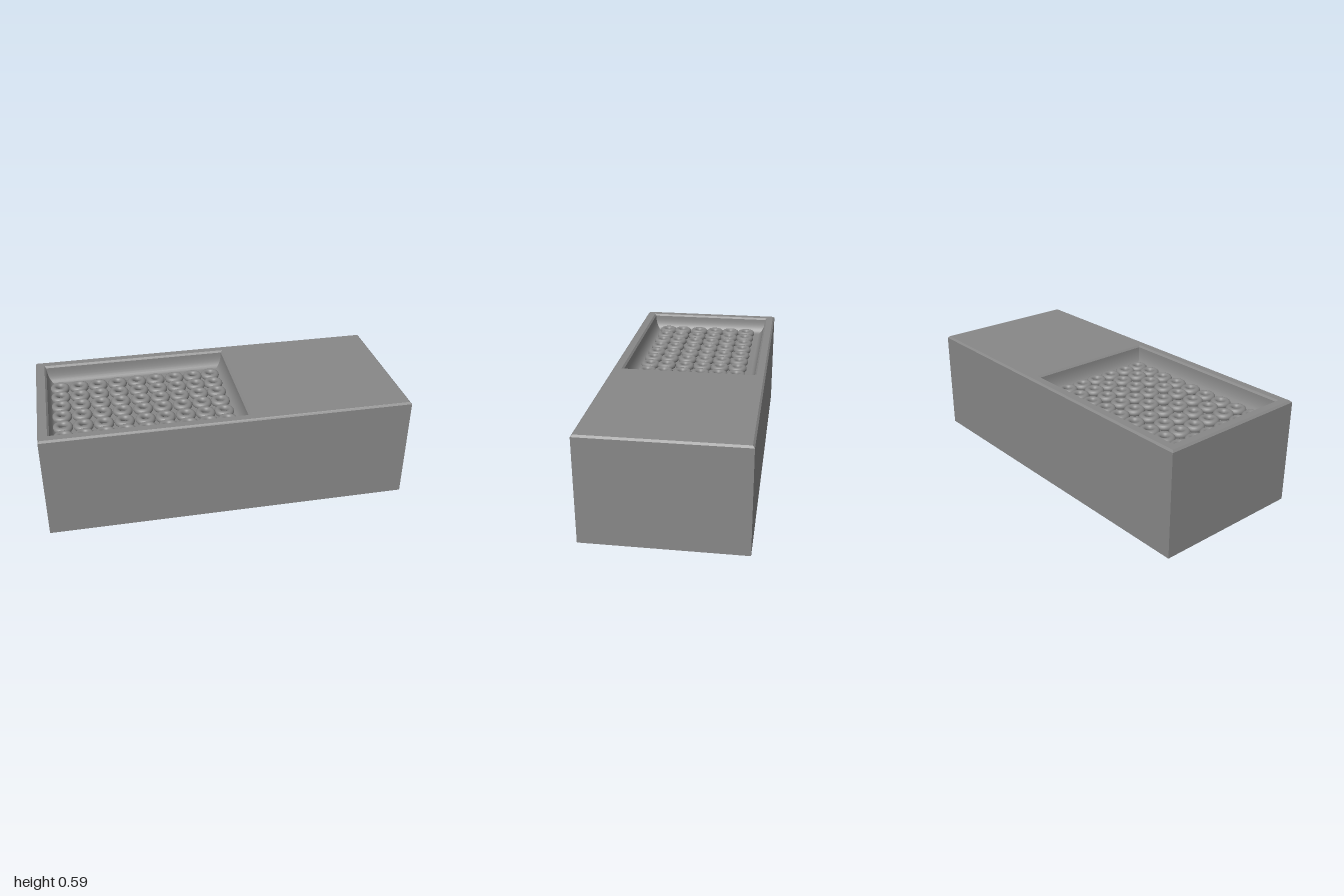
import * as THREE from 'three';
import { toCreasedNormals } from 'three/addons/utils/BufferGeometryUtils.js';

const material = new THREE.MeshStandardMaterial({ color: 0x878787 });

// Loft through rectangles [x0, x1, halfDepth, y], smooth only across shallow bends
function loftRects(rects, capStart, capEnd) {
  const pos = [];
  const corners = ([x0, x1, d, y]) => [[x0, y, d], [x1, y, d], [x1, y, -d], [x0, y, -d]];
  const quad = (a, b, c, d) => pos.push(...a, ...b, ...c, ...a, ...c, ...d);
  const rings = rects.map(corners);
  for (let r = 0; r < rings.length - 1; r++) {
    for (let i = 0; i < 4; i++) {
      const j = (i + 1) % 4;
      quad(rings[r][i], rings[r][j], rings[r + 1][j], rings[r + 1][i]);
    }
  }
  if (capStart) quad(...[...rings[0]].reverse());
  if (capEnd) quad(...rings[rings.length - 1]);
  const g = new THREE.BufferGeometry();
  g.setAttribute('position', new THREE.Float32BufferAttribute(pos, 3));
  return toCreasedNormals(g, 0.55);
}

export function createModel() {
  const model = new THREE.Group();
  model.name = 'blockWithTray';

  function add(name, geometry, parent = model) {
    const mesh = new THREE.Mesh(geometry, material);
    mesh.name = name;
    parent.add(mesh);
    return mesh;
  }

  // Tray outline moved inward by a distance, at a height
  const trayRect = (inset, y) => [-0.95 + inset, 0.113 - inset, 0.381 - inset, y];
  const topY = 0.588, floorY = 0.49;

  // Block: base, sides, chamfered top edge and the top face around the tray
  add('body', loftRects([
    [-1, 1, 0.431, 0],
    [-1, 1, 0.431, 0.578],
    [-0.99, 0.99, 0.421, topY],
    trayRect(0, topY),
  ], true, false));

  // Recessed tray: small lip, then walls that curve into a flat floor
  const lip = 0.01, cove = 0.045, steps = 8;
  const trayRects = [trayRect(0, topY)];
  for (let i = 0; i <= steps; i++) {
    const a = (i / steps) * Math.PI / 2;
    trayRects.push(trayRect(
      lip + cove * (1 - Math.cos(a)),
      floorY + (topY - lip - floorY) * (1 - Math.sin(a)),
    ));
  }
  add('tray', loftRects(trayRects, false, true));

  // Rows of rings lying on the tray floor
  const rings = new THREE.Group();
  rings.name = 'rings';
  model.add(rings);
  const ring = new THREE.TorusGeometry(0.0365, 0.0185, 16, 32).rotateX(-Math.PI / 2);
  const columns = [-0.872, -0.762, -0.652, -0.54, -0.426, -0.316, -0.204, -0.094, 0.011];
  const rows = [-0.25, -0.145, -0.041, 0.065, 0.176, 0.274];
  for (const z of rows) {
    for (const x of columns) add('ring', ring, rings).position.set(x, floorY + 0.011, z);
  }

  return model;
}
